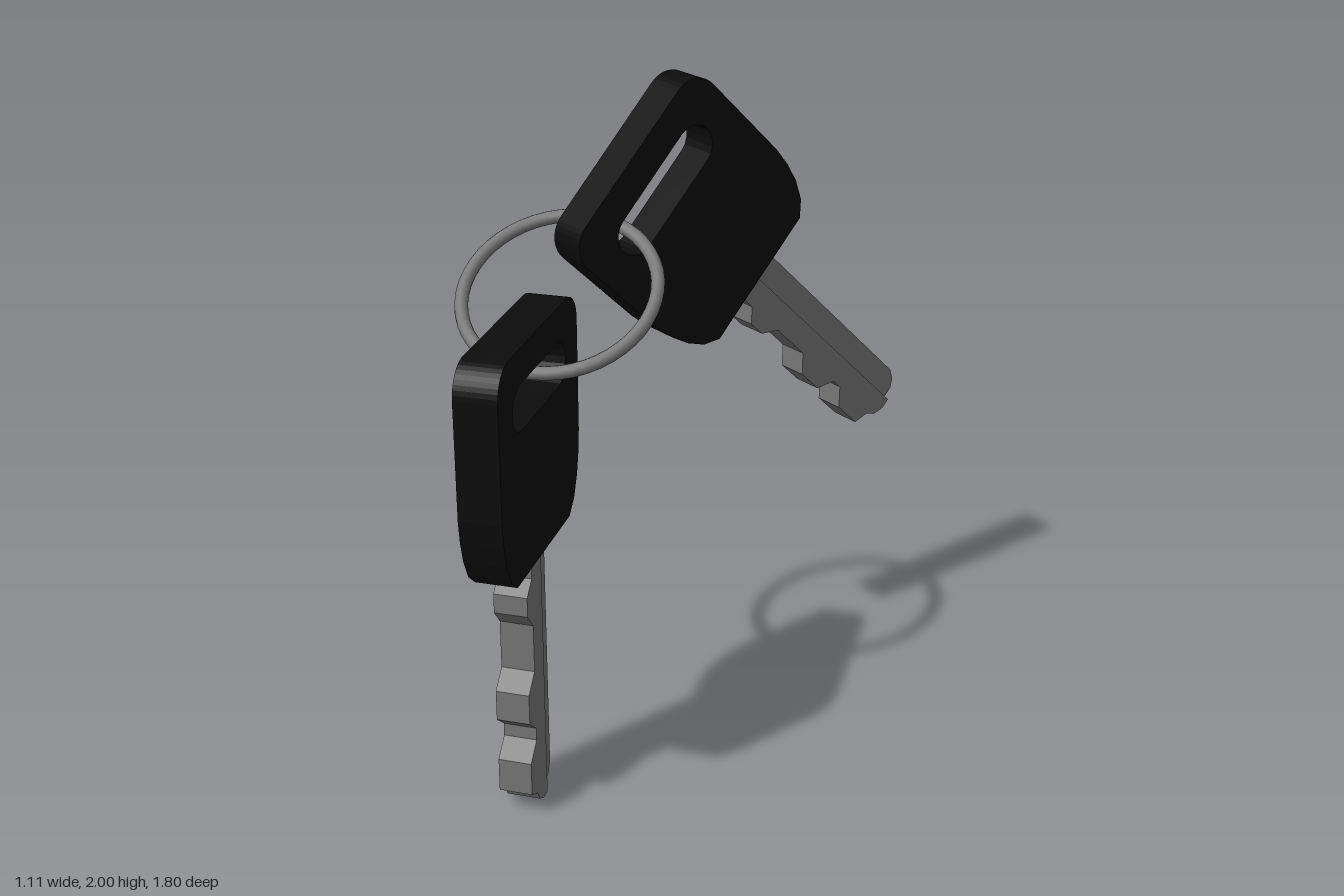
import * as THREE from 'three';

const black = new THREE.MeshStandardMaterial({ color: 0x0c0c0c });
const steel = new THREE.MeshStandardMaterial({ color: 0x777777 });

// Plate standing in the YZ plane: shape x runs along +z, thickness along x.
function plate(name, shape, thickness, offset, material) {
  const geo = new THREE.ExtrudeGeometry(shape, { depth: thickness, bevelEnabled: false, curveSegments: 5 });
  geo.translate(0, 0, -thickness / 2);
  geo.rotateY(-Math.PI / 2);
  geo.translate(offset, 0, 0);
  const mesh = new THREE.Mesh(geo, material);
  mesh.name = name;
  return mesh;
}

function polygon(points) {
  return new THREE.Shape(points.map(([x, y]) => new THREE.Vector2(x, y)));
}

// Grip outline: rounded top corners, sides tapering in at the bottom.
function gripShape() {
  const w = 0.325, h = 0.335, r = 0.09;
  const lower = [[0.325, -0.1], [0.317, -0.17], [0.3, -0.235], [0.27, -0.295], [0.225, -0.335]];
  const s = new THREE.Shape();
  s.moveTo(-w + r, h);
  s.lineTo(w - r, h);
  s.absarc(w - r, h - r, r, Math.PI / 2, 0, true);
  lower.forEach(([x, y]) => s.lineTo(x, y));
  [...lower].reverse().forEach(([x, y]) => s.lineTo(-x, y));
  s.lineTo(-w, h - r);
  s.absarc(-w + r, h - r, r, Math.PI, Math.PI / 2, true);

  // Slot for the ring
  const slot = new THREE.Path();
  const cy = 0.168, sr = 0.066, sx = 0.152;
  slot.absarc(sx, cy, sr, -Math.PI / 2, Math.PI / 2, false);
  slot.absarc(-sx, cy, sr, Math.PI / 2, Math.PI * 1.5, false);
  s.holes.push(slot);
  return s;
}

// One key; origin at the middle of the grip, blade pointing down.
function createKey(name) {
  const key = new THREE.Group();
  key.name = name;
  key.add(plate('grip', gripShape(), 0.124, 0, black));

  // Cut half of the blade
  const toothed = polygon([
    [0, -0.25], [0.08, -0.25], [0.08, -0.385], [0.122, -0.425], [0.122, -0.485], [0.08, -0.535],
    [0.08, -0.685], [0.133, -0.735], [0.133, -0.83], [0.08, -0.875], [0.08, -0.915],
    [0.133, -0.965], [0.133, -1.07], [0.085, -1.095], [0.07, -1.125], [0.035, -1.145], [0, -1.145],
  ]);
  key.add(plate('bladeTeeth', toothed, 0.1, 0, steel));

  // Plain half, stepped back on one face
  const plain = polygon([
    [0, -0.25], [0, -1.145], [-0.04, -1.145], [-0.068, -1.128], [-0.085, -1.095], [-0.085, -0.25],
  ]);
  key.add(plate('bladeSpine', plain, 0.08, -0.01, steel));
  return key;
}

export function createModel() {
  const model = new THREE.Group();
  model.name = 'keyRingWithKeys';

  // Key hanging straight down
  const hanging = createKey('hangingKey');
  hanging.position.set(-0.25, 1.145, 0.565);
  model.add(hanging);

  // Key swung outwards
  const swung = createKey('swungKey');
  swung.position.set(0.014, 1.575, -0.197);
  swung.rotation.set(0.805, -0.647, 0, 'YXZ');
  model.add(swung);

  // Tilted ring joining both keys
  const ring = new THREE.Mesh(new THREE.TorusGeometry(0.285, 0.02, 12, 48), steel);
  ring.name = 'ring';
  ring.position.set(-0.25, 1.45, 0.207);
  ring.rotation.x = -1.007;
  model.add(ring);

  return model;
}
